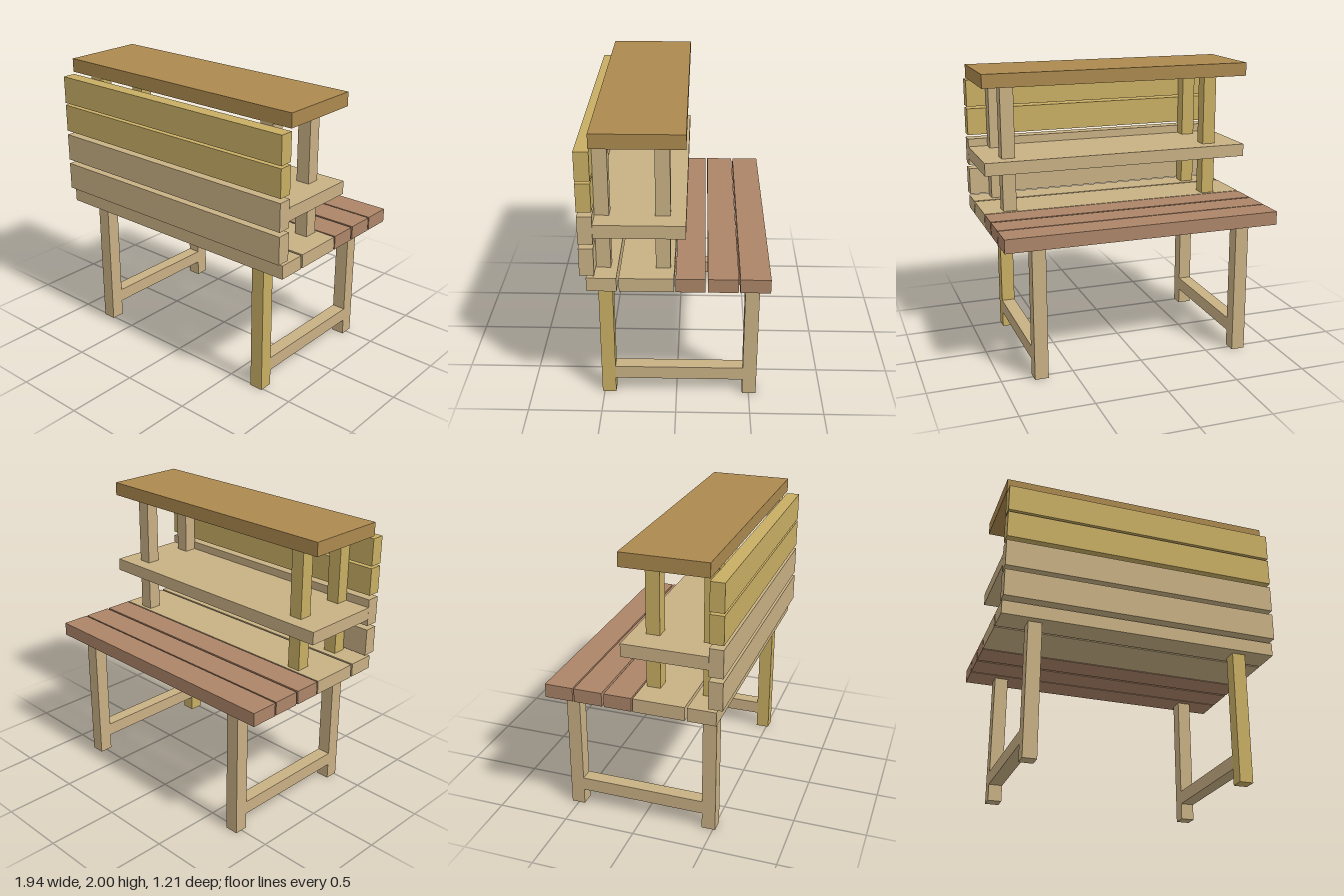
import * as THREE from 'three';

const mat = (name, color) => {
  const m = new THREE.MeshStandardMaterial({ color });
  m.name = name;
  return m;
};

export function createModel() {
  const tan = mat('tan wood', 0xc8b084);
  const gold = mat('golden wood', 0xc8ae64);
  const brown = mat('brown wood', 0xac894e);
  const red = mat('reddish wood', 0xac8568);
  const model = new THREE.Group();
  model.name = 'marketStall';

  // Box given by its [min, max] range on each axis
  const beam = (name, material, [x0, x1], [y0, y1], [z0, z1]) => {
    const mesh = new THREE.Mesh(new THREE.BoxGeometry(x1 - x0, y1 - y0, z1 - z0), material);
    mesh.position.set((x0 + x1) / 2, (y0 + y1) / 2, (z0 + z1) / 2);
    mesh.name = name;
    model.add(mesh);
  };
  const width = [-0.97, 0.97];
  const frontZ = [0.42, 0.515];

  // Legs and low stretchers on both sides
  for (const [side, x, frontMat] of [['left', [0.685, 0.78], gold], ['right', [-0.78, -0.685], tan]]) {
    beam(side + 'FrontLeg', frontMat, x, [0, 0.93], frontZ);
    beam(side + 'BackLeg', tan, x, [0, 0.93], [-0.55, -0.455]);
    beam(side + 'Stretcher', tan, x, [0.115, 0.21], [-0.455, 0.42]);
  }

  // Counter planks, front to back
  const planks = [[0.375, 0.567, tan], [0.01, 0.36, tan], [-0.19, 0, red], [-0.4, -0.205, red], [-0.605, -0.41, red]];
  planks.forEach(([z0, z1, m], i) => beam('counterPlank' + (i + 1), m, width, [0.93, 1.025], [z0, z1]));

  // Upper posts
  for (const [side, x, m] of [['left', [0.735, 0.83], tan], ['right', [-0.78, -0.685], gold]]) {
    beam(side + 'FrontPost', m, x, [1.025, 1.905], frontZ);
    beam(side + 'BackPost', m, x, [1.025, 1.905], [0.035, 0.13]);
  }

  // Shelf and top board
  beam('shelf', tan, width, [1.31, 1.4], [-0.065, 0.512]);
  beam('topBoard', brown, width, [1.905, 2], [-0.065, 0.517]);

  // Front panel boards, bottom to top
  const boards = [[1.043, 1.235, tan], [1.265, 1.457, tan], [1.487, 1.679, gold], [1.695, 1.887, gold]];
  boards.forEach(([y0, y1, m], i) => beam('frontBoard' + (i + 1), m, width, [y0, y1], [0.513, 0.607]));

  return model;
}
